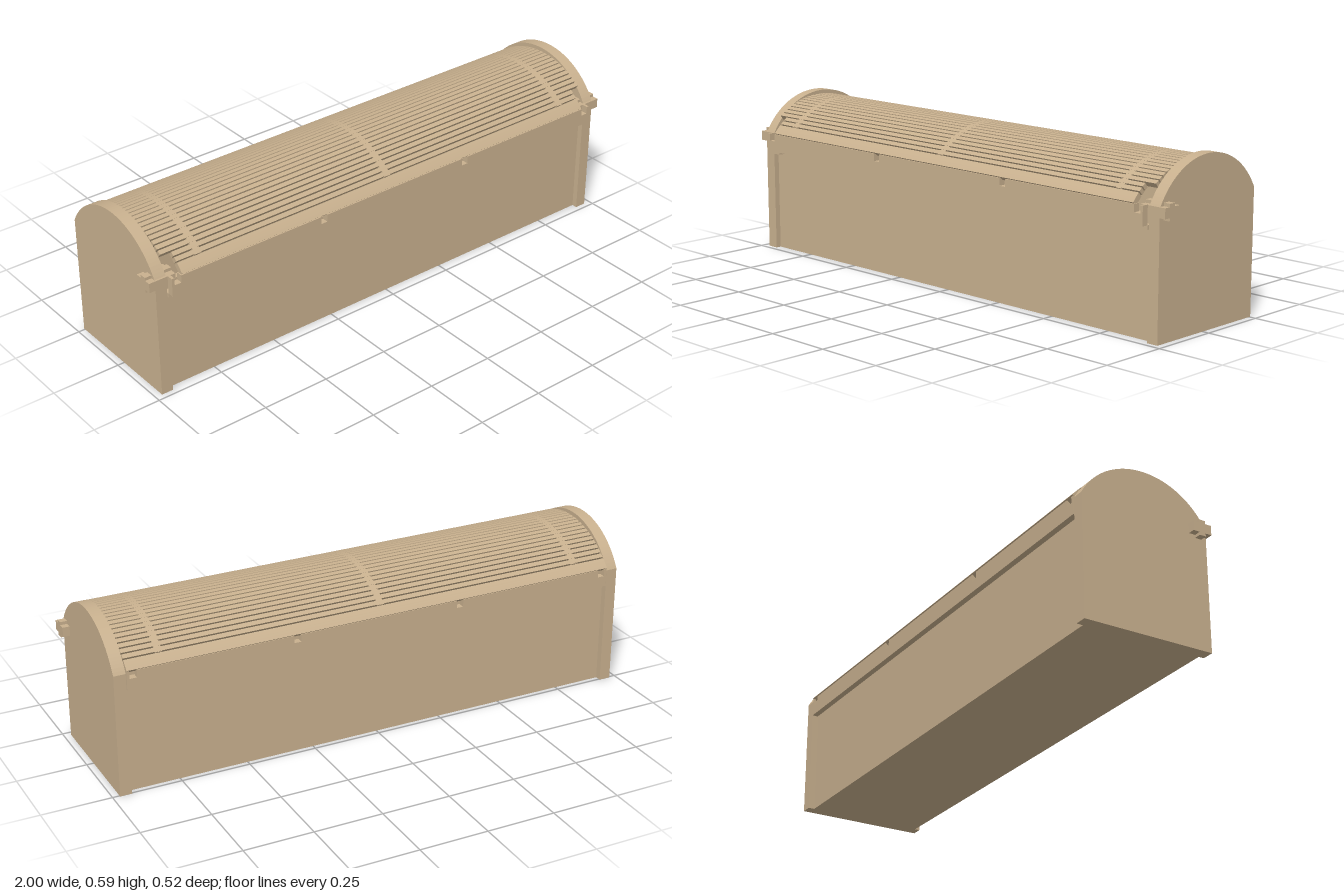
import * as THREE from 'three';

export function createModel() {
  const model = new THREE.Group();
  model.name = 'slattedChest';
  const tan = new THREE.MeshStandardMaterial({ color: 0xc8b08e });
  tan.name = 'tan';

  const add = (parent, name, geometry) => {
    const mesh = new THREE.Mesh(geometry, tan);
    mesh.name = name;
    parent.add(mesh);
    return mesh;
  };
  const group = (name) => {
    const g = new THREE.Group();
    g.name = name;
    model.add(g);
    return g;
  };
  // Box given by its limits on each axis
  const box = (parent, name, x0, x1, y0, y1, z0, z1) =>
    add(parent, name, new THREE.BoxGeometry(x1 - x0, y1 - y0, z1 - z0))
      .position.set((x0 + x1) / 2, (y0 + y1) / 2, (z0 + z1) / 2);
  // Side profile of [z, y] points, extruded from x0 to x1
  const prism = (parent, name, points, x0, x1) => {
    const shape = new THREE.Shape(points.map(([z, y]) => new THREE.Vector2(z, y)));
    const geometry = new THREE.ExtrudeGeometry(shape, { depth: x1 - x0, bevelEnabled: false });
    geometry.rotateY(-Math.PI / 2);
    geometry.translate(x1, 0, 0);
    return add(parent, name, geometry);
  };
  // Points on an arc, with angles measured from straight up towards +z
  const arc = (cz, cy, r, a0, a1, n) =>
    Array.from({ length: n + 1 }, (_, i) => {
      const a = a0 + ((a1 - a0) * i) / n;
      return [cz + r * Math.sin(a), cy + r * Math.cos(a)];
    });

  // Hollow body
  const body = group('body');
  box(body, 'floor', -0.935, 0.935, 0, 0.02, -0.232, 0.21);
  box(body, 'frontWall', -0.935, 0.935, 0.02, 0.415, 0.19, 0.21);
  box(body, 'backWall', -0.935, 0.935, 0.02, 0.415, -0.232, -0.212);

  // Arched end panels with cross-shaped pivot pegs
  const half = Math.asin(0.2425 / 0.275);
  const panel = [[0.23, 0], ...arc(-0.0125, 0.315, 0.275, half, -half, 48), [-0.255, 0]];
  const ends = group('endPanels');
  for (const s of [-1, 1]) {
    const span = (a, b) => (s > 0 ? [a, b] : [-b, -a]);
    prism(ends, 'endPanel', panel, ...span(0.932, 0.975));
    box(ends, 'pegBar', ...span(0.9, 1), 0.415, 0.45, 0.163, 0.234);
    box(ends, 'pegCross', ...span(0.9, 1), 0.404, 0.461, 0.187, 0.211);
    box(ends, 'hingeHook', ...span(0.895, 0.93), 0.37, 0.385, 0.21, 0.235);
  }

  // Curved lid made of parallel slats joined by three ribs
  const lid = group('lid');
  const CY = 0.239, R = 0.338, T = 0.02;
  const sector = (a0, a1, r, n) =>
    [...arc(0, CY, r, a0, a1, n), ...arc(0, CY, r - T, a1, a0, n)];
  const edge = Math.asin(0.259 / R), slotEnd = 0.75, count = 25;
  const step = (2 * slotEnd) / count, gap = 0.005 / R;
  for (let i = 0; i < count; i++) {
    const a0 = -slotEnd + i * step + gap / 2;
    const x = a0 > 0.6 ? 0.89 : 0.93;
    prism(lid, 'slat', sector(a0, a0 + step - gap, R, 2), -x, x);
  }
  for (const x of [-0.805, -0.015, 0.805])
    prism(lid, 'rib', sector(-slotEnd, slotEnd, R - 0.0004, 50), x - 0.012, x + 0.012);

  // Solid lower edges of the lid, front and back
  prism(lid, 'frontEdge', sector(slotEnd + gap / 2, edge, R, 4), -0.89, 0.89);
  prism(lid, 'backEdge', sector(-edge, -slotEnd - gap / 2, R, 4), -0.93, 0.93);

  // Lips with small square openings
  const holes = [-0.907, -0.315, 0.315, 0.907];
  for (const [name, z0, z1] of [['frontLip', 0.235, 0.259], ['backLip', -0.257, -0.235]]) {
    box(lid, name, -0.93, 0.93, 0.385, 0.425, z0, z1);
    const cuts = [-0.93, ...holes.flatMap((h) => [h - 0.013, h + 0.013]), 0.93];
    for (let i = 0; i < cuts.length; i += 2)
      box(lid, name + 'Top', cuts[i], cuts[i + 1], 0.425, 0.452, z0, z1);
  }
  return model;
}
